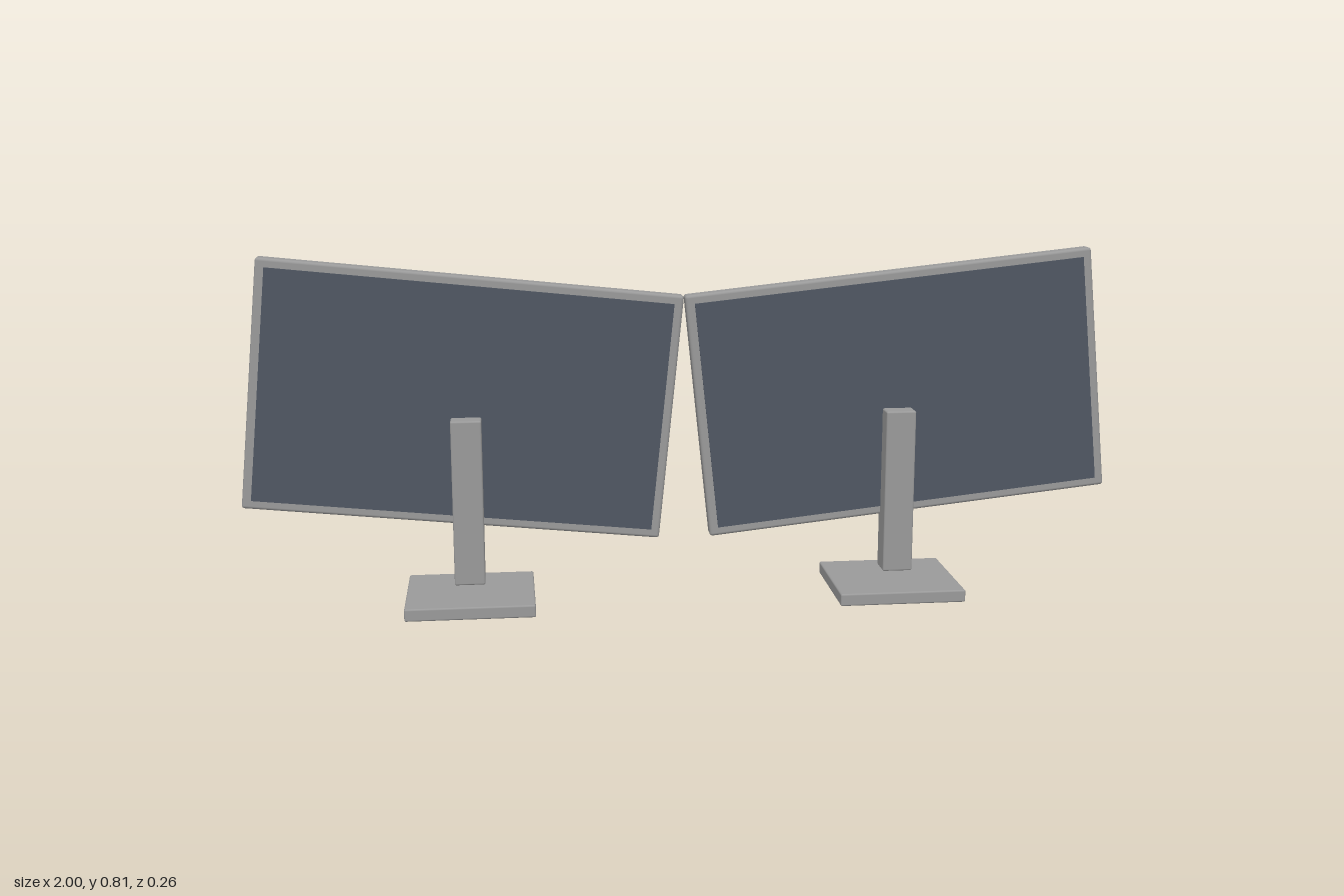
import * as THREE from 'three';
import { RoundedBoxGeometry } from 'three/addons/geometries/RoundedBoxGeometry.js';

const TILT = THREE.MathUtils.degToRad(6);

export function createModel() {
  const model = new THREE.Group();
  model.name = 'dualMonitors';

  const greyPlastic = new THREE.MeshStandardMaterial({ color: 0x999999 });
  greyPlastic.name = 'greyPlastic';
  const darkScreen = new THREE.MeshStandardMaterial({ color: 0x505762 });
  darkScreen.name = 'darkScreen';

  // Box with softened edges, given its size and centre
  function roundedPart(name, parent, [w, h, d], [x, y, z], radius) {
    const mesh = new THREE.Mesh(new RoundedBoxGeometry(w, h, d, 3, radius), greyPlastic);
    mesh.name = name;
    mesh.position.set(x, y, z);
    parent.add(mesh);
  }

  for (const side of [-1, 1]) {
    const monitor = new THREE.Group();
    monitor.name = side > 0 ? 'leftMonitor' : 'rightMonitor';
    model.add(monitor);

    // Tilted panel: casing with a thin screen plate on its front
    const panel = new THREE.Group();
    panel.name = 'panel';
    panel.position.set(side * 0.5, 0.475, 0);
    panel.rotation.z = side * TILT;
    monitor.add(panel);
    roundedPart('casing', panel, [0.945, 0.566, 0.039], [0, 0, 0], 0.007);

    const screen = new THREE.Mesh(new THREE.BoxGeometry(0.904, 0.526, 0.006), darkScreen);
    screen.name = 'screen';
    screen.position.z = 0.0195;
    panel.add(screen);

    // Stand: upright post and flat foot
    roundedPart('post', monitor, [0.069, 0.38, 0.06], [side * 0.495, 0.25, 0.035], 0.004);
    roundedPart('foot', monitor, [0.293, 0.029, 0.262], [side * 0.495, 0.0145, 0], 0.004);
  }

  return model;
}
